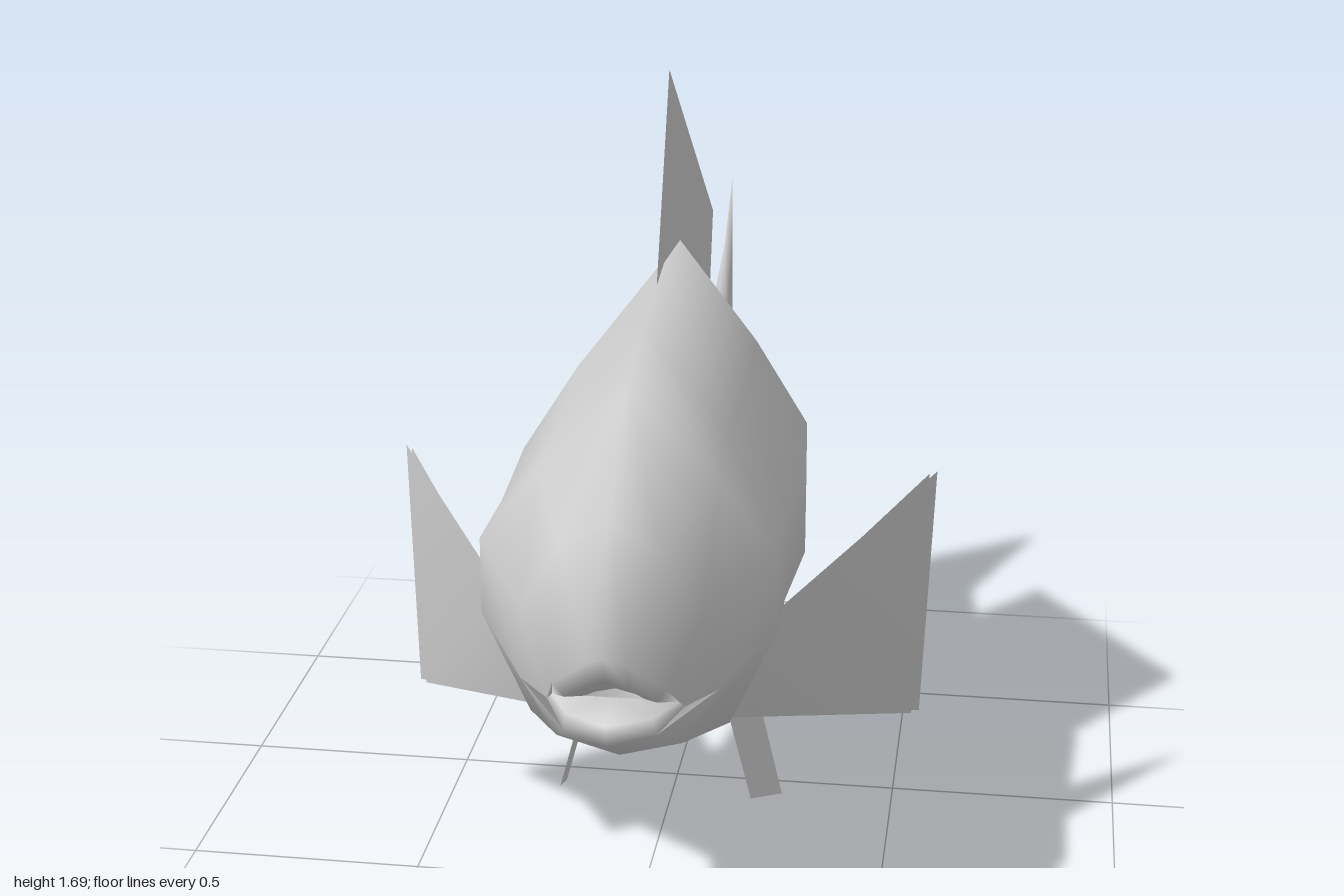
import * as THREE from 'three';

const material = new THREE.MeshStandardMaterial({ color: 0xcccccc, side: THREE.DoubleSide });

// Half outline of a body section, from ridge to belly: [share of half width, share of height]
const SECTION = [[0, 1], [0.6, 0.765], [1, 0.57], [1, 0.36], [0.68, 0.09], [0, 0]];

// Body stations, head to tail: [z, top, bottom, half width]
const STATIONS = [
  [0.69, 1.2, 0.425, 0.298], [0.5, 1.25, 0.37, 0.292], [0.2, 1.3, 0.307, 0.305],
  [-0.04, 1.28, 0.33, 0.283], [-0.25, 1.17, 0.41, 0.21], [-0.53, 0.96, 0.555, 0.105],
  [-0.7, 0.93, 0.65, 0.038], [-0.84, 1.04, 0.55, 0.02], [-0.995, 1.17, 0.43, 0.002],
];

// Half rings of the face, from the back of the mouth over the lips to the brow: [x, y, z]
const FACE = [
  [[0, 0.64, 0.86], [0.02, 0.635, 0.86], [0.04, 0.63, 0.86], [0.06, 0.62, 0.86], [0.03, 0.62, 0.86], [0, 0.62, 0.86]],
  [[0, 0.715, 0.985], [0.04, 0.685, 0.95], [0.09, 0.64, 0.91], [0.125, 0.62, 0.86], [0.085, 0.62, 0.94], [0, 0.62, 0.985]],
  [[0, 0.765, 0.998], [0.04, 0.74, 0.965], [0.11, 0.68, 0.935], [0.135, 0.61, 0.86], [0.09, 0.58, 0.93], [0, 0.57, 0.97]],
  [[0, 1.0, 0.91], [0.1, 0.95, 0.91], [0.175, 0.82, 0.905], [0.195, 0.63, 0.82], [0.125, 0.51, 0.82], [0, 0.475, 0.82]],
];

// Smooth skin through a row of mirrored half rings, front to back
function skin(halfRings) {
  const rings = halfRings.map((h) => [
    ...h, ...h.slice(1, -1).reverse().map(([x, y, z]) => [-x, y, z]),
  ]);
  const n = rings[0].length;
  const index = [];
  for (let i = 0; i < rings.length - 1; i++) {
    for (let j = 0; j < n; j++) {
      const a = i * n + j, b = i * n + ((j + 1) % n);
      // Mirror the diagonals so both flanks match
      if (j < n / 2) index.push(a, b, a + n, b, b + n, a + n);
      else index.push(a, b, b + n, a, b + n, a + n);
    }
  }
  return surface(rings.flat(2), index);
}

function surface(positions, index) {
  const geometry = new THREE.BufferGeometry();
  geometry.setAttribute('position', new THREE.Float32BufferAttribute(positions, 3));
  geometry.setIndex(index);
  geometry.computeVertexNormals();
  return geometry;
}

// Thin four-cornered fin
function fin(name, corners) {
  const mesh = new THREE.Mesh(surface(corners.flat(), [0, 1, 2, 0, 2, 3]), material);
  mesh.name = name;
  return mesh;
}

export function createModel() {
  const fish = new THREE.Group();
  fish.name = 'fish';

  // Body with mouth and tail in one skin
  const trunk = STATIONS.map(([z, top, bottom, w]) =>
    SECTION.map(([u, v]) => [u * w, bottom + v * (top - bottom), z]));
  const body = new THREE.Mesh(skin([...FACE, ...trunk]), material);
  body.name = 'body';
  fish.add(body);

  // Fins on the centre line
  fish.add(fin('dorsalFin', [[0, 1.27, 0.31], [0, 1.69, 0.12], [0, 1.19, -0.605], [0, 0.94, -0.53]]));
  fish.add(fin('analFin', [[0, 0.4, -0.22], [0, 0.29, -0.51], [0, 0.44, -0.7], [0, 0.57, -0.5]]));

  // Paired fins
  for (const [side, s] of [['left', 1], ['right', -1]]) {
    fish.add(fin(side + 'PelvicFin', [
      [s * 0.145, 0.39, 0.34], [s * 0.21, 0.14, 0.35], [s * 0.25, 0, 0.06], [s * 0.15, 0.38, 0.01],
    ]));
    // Two sheets rooted on the flank, slightly apart
    const pectoral = new THREE.Group();
    pectoral.name = side + 'PectoralFin';
    for (const [sheet, root, tip] of [['frontSheet', 0, 0.008], ['backSheet', -0.035, -0.008]]) {
      pectoral.add(fin(sheet, [
        [s * 0.288, 0.688, 0.58 + root], [s * (0.572 - tip), 0.843, 0.15 + tip],
        [s * (0.552 - tip), 0.29, 0.18 + tip], [s * 0.188, 0.455, 0.59 + root],
      ]));
    }
    fish.add(pectoral);
  }
  return fish;
}
